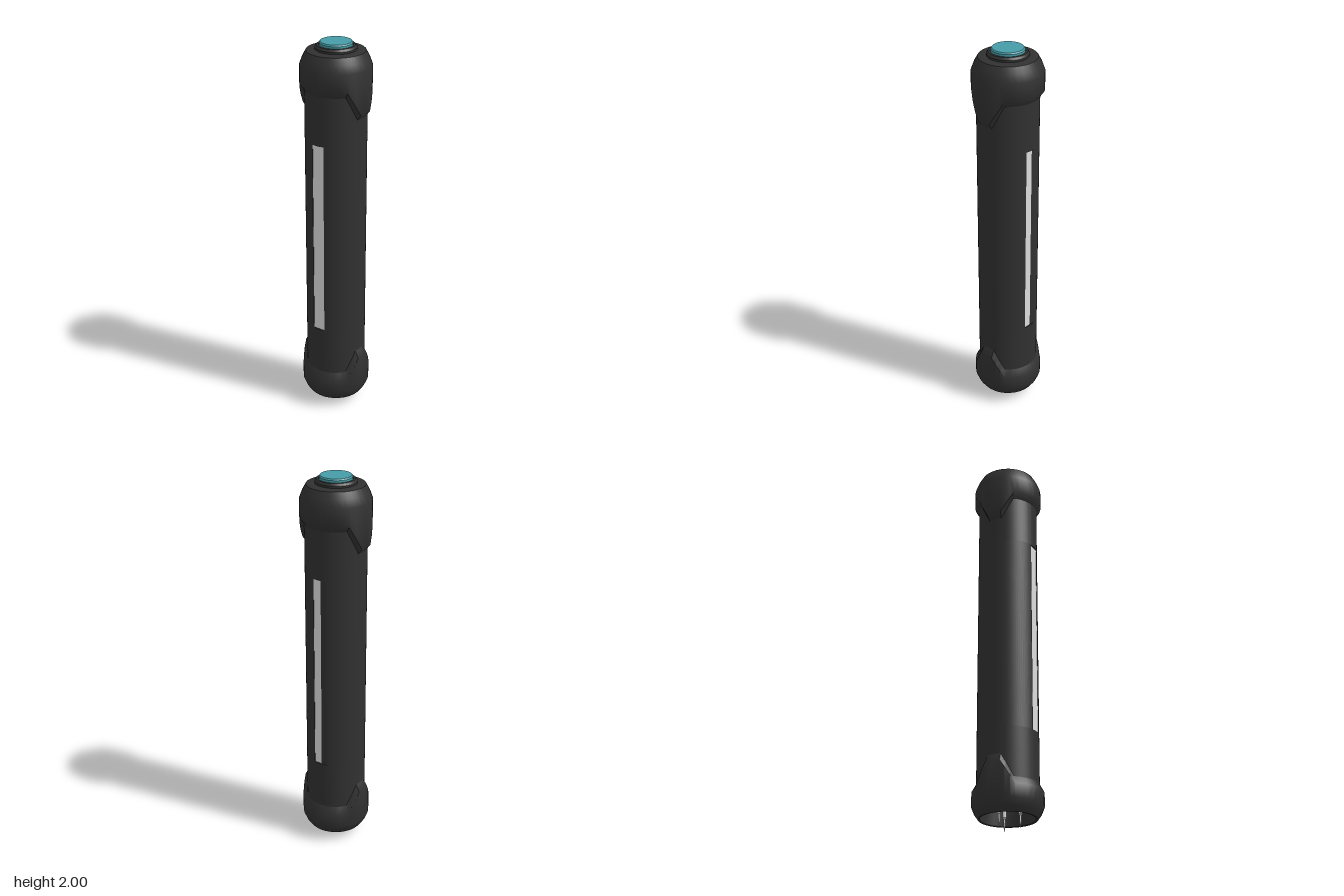
import * as THREE from 'three';
import { toCreasedNormals } from 'three/addons/utils/BufferGeometryUtils.js';

const casing = new THREE.MeshStandardMaterial({ color: 0x313131 });
casing.name = 'charcoal casing';
const teal = new THREE.MeshStandardMaterial({ color: 0x469ca6 });
teal.name = 'teal button';
const pale = new THREE.MeshStandardMaterial({ color: 0xdcdcdc });
pale.name = 'pale grey';

const BODY_R = 0.155;
const SLOT_HALF = 0.033;
const SLOT_Y = [0.475, 1.51];

function addMesh(group, name, geometry, material) {
  const mesh = new THREE.Mesh(geometry, material);
  mesh.name = name;
  group.add(mesh);
  return mesh;
}

function lathe(profile, segments = 40) {
  const points = profile.map(([r, y]) => new THREE.Vector2(r, y));
  return toCreasedNormals(new THREE.LatheGeometry(points, segments), 0.5);
}

// Upright prism with a round section; slotted = a flat-floored notch on each side
function tube(y0, y1, slotted) {
  const shape = new THREE.Shape();
  if (slotted) {
    const a = Math.asin(SLOT_HALF / BODY_R);
    const floor = 0.145;
    shape.moveTo(floor, SLOT_HALF);
    shape.absarc(0, 0, BODY_R, a, Math.PI - a, false);
    shape.lineTo(-floor, SLOT_HALF);
    shape.lineTo(-floor, -SLOT_HALF);
    shape.absarc(0, 0, BODY_R, Math.PI + a, 2 * Math.PI - a, false);
    shape.lineTo(floor, -SLOT_HALF);
    shape.closePath();
  } else {
    shape.absarc(0, 0, BODY_R, 0, Math.PI * 2, false);
  }
  const geometry = new THREE.ExtrudeGeometry(shape, {
    depth: y1 - y0, bevelEnabled: false, curveSegments: slotted ? 20 : 48,
  });
  geometry.rotateX(-Math.PI / 2).translate(0, y0, 0);
  return toCreasedNormals(geometry, 0.5);
}

// Cap columns, denser at the corners of the front and back tabs
const TAB_IN = 0.22, TAB_OUT = 0.64;
const quarter = [0, TAB_IN, 0.36, 0.5, TAB_OUT, 0.82, 1.01, 1.2, 1.39];
const angles = [];
for (let half = 0; half < 2; half++) {
  quarter.forEach((a) => angles.push(half * Math.PI + a));
  angles.push(half * Math.PI + Math.PI / 2);
  quarter.slice(1).reverse().forEach((a) => angles.push((half + 1) * Math.PI - a));
}

// Swept cap whose inner edge runs out into a tapered tab at the front and back
function capGeometry(profile, edgeY, tabY, bevel) {
  const flip = tabY > edgeY;
  const rows = profile.length + 2;
  const positions = [];
  const indices = [];
  for (const a of angles) {
    const off = Math.asin(Math.min(1, Math.abs(Math.sin(a))));
    const t = THREE.MathUtils.clamp((TAB_OUT - off) / (TAB_OUT - TAB_IN), 0, 1);
    const edge = THREE.MathUtils.lerp(edgeY, tabY, t);
    const column = [...profile, [0.178, edge + (flip ? -bevel : bevel)], [0.152, edge]];
    for (const [r, y] of column) positions.push(r * Math.sin(a), y, r * Math.cos(a));
  }
  for (let c = 0; c < angles.length; c++) {
    const n = (c + 1) % angles.length;
    for (let i = 0; i < rows - 1; i++) {
      const p = c * rows + i, q = p + 1, s = n * rows + i, u = s + 1;
      if (flip) indices.push(p, u, q, p, s, u);
      else indices.push(p, q, u, p, u, s);
    }
  }
  const geometry = new THREE.BufferGeometry();
  geometry.setAttribute('position', new THREE.Float32BufferAttribute(positions, 3));
  geometry.setIndex(indices);
  return toCreasedNormals(geometry, 0.75);
}

export function createModel() {
  const model = new THREE.Group();
  model.name = 'cylindricalDevice';

  // Handle body, with long slots on the left and right
  const body = new THREE.Group();
  body.name = 'body';
  addMesh(body, 'lowerBody', tube(0.13, SLOT_Y[0], false), casing);
  addMesh(body, 'slottedBody', tube(SLOT_Y[0], SLOT_Y[1], true), casing);
  addMesh(body, 'upperBody', tube(SLOT_Y[1], 1.9, false), casing);
  model.add(body);

  // Light strips sunk in the slots
  for (const side of [1, -1]) {
    const strip = addMesh(model, side > 0 ? 'leftStrip' : 'rightStrip',
      new THREE.BoxGeometry(0.006, SLOT_Y[1] - SLOT_Y[0], SLOT_HALF * 2), pale);
    strip.position.set(side * 0.146, (SLOT_Y[0] + SLOT_Y[1]) / 2, 0);
  }

  // Top cap
  addMesh(model, 'topCap', capGeometry(
    [[0.08, 1.962], [0.125, 1.962], [0.145, 1.957], [0.163, 1.925], [0.178, 1.885]],
    1.758, 1.635, 0.035), casing);

  // Bottom cap, hollow underneath
  addMesh(model, 'bottomCap', capGeometry(
    [[0.132, 0.135], [0.136, 0.052], [0.145, 0.05], [0.164, 0.077], [0.178, 0.112]],
    0.225, 0.34, 0.045), casing);

  // Button collar and button
  addMesh(model, 'buttonCollar', lathe(
    [[0.103, 1.955], [0.103, 1.972], [0.095, 1.983], [0.084, 1.983], [0.084, 1.96], [0, 1.96]]), casing);
  addMesh(model, 'button', lathe(
    [[0.082, 1.96], [0.082, 1.993], [0.077, 2.0], [0, 2.0]]), teal);

  // Three contact pins in the bottom recess
  const pinGeometry = lathe(
    [[0, 0], [0.004, 0.03], [0.005, 0.068], [0.01, 0.075], [0.01, 0.135]], 12);
  for (let i = 0; i < 3; i++) {
    const a = THREE.MathUtils.degToRad(48 + i * 120);
    const pin = addMesh(model, 'contactPin' + (i + 1), pinGeometry, pale);
    pin.position.set(0.0615 * Math.cos(a), 0, 0.0615 * Math.sin(a));
  }

  return model;
}
